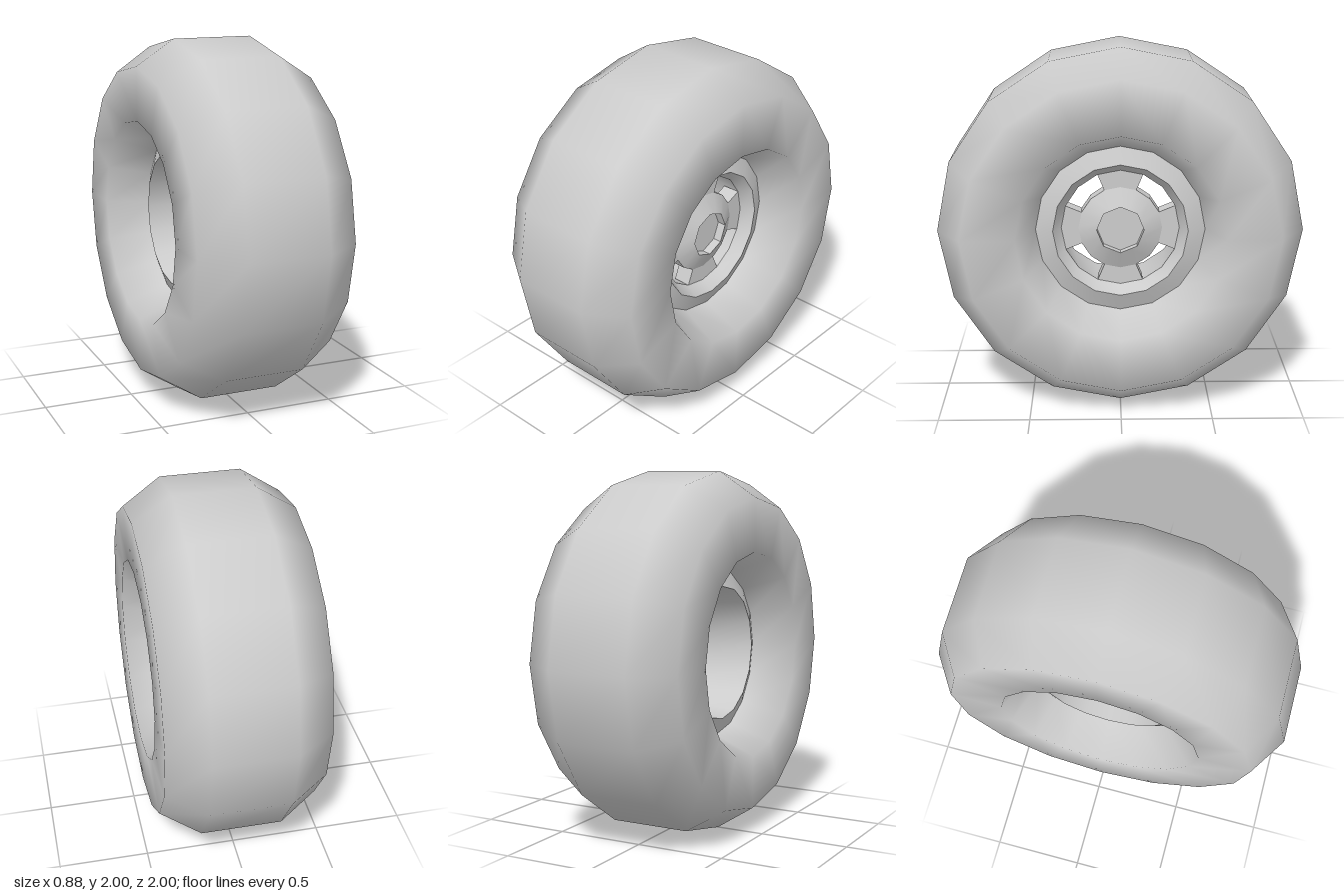
import * as THREE from 'three';
import { toCreasedNormals } from 'three/addons/utils/BufferGeometryUtils.js';

const SIDES = 16;
const STEP = (Math.PI * 2) / SIDES;

export function createModel() {
  const wheel = new THREE.Group();
  wheel.name = 'wheel';
  const material = new THREE.MeshStandardMaterial({ color: 0xcccccc });

  const add = (name, geometry) => {
    const mesh = new THREE.Mesh(geometry, material);
    mesh.name = name;
    mesh.position.y = 1;
    wheel.add(mesh);
    return mesh;
  };

  // Profile of [radius, x] pairs turned around the x axle
  const turned = (profile) =>
    new THREE.LatheGeometry(profile.map(([r, x]) => new THREE.Vector2(r, x)), SIDES).rotateZ(-Math.PI / 2);

  // Tyre: chamfered tread, flat sidewalls, dished towards the rim; smooth all over
  add('tyre', turned([
    [0.465, -0.21], [0.565, -0.44], [0.86, -0.44], [1, -0.225],
    [1, 0.225], [0.86, 0.44], [0.565, 0.44], [0.465, 0.21],
  ]));

  // Rim: outer lip, shallow well to the disc, deep open barrel and inner lip
  add('rim', toCreasedNormals(turned([
    [0.465, 0.21], [0.37, 0.25], [0.325, 0.18], [0.37, -0.25], [0.465, -0.21],
  ]), 0.6));

  // Spoke disc: four wide spokes with windows between them
  const outline = [];
  for (let i = 0; i < 4; i++) {
    const radii = [0.325, 0.325, 0.325, 0.23, 0.23, 0.23];
    const steps = [-1, 0, 1, 1, 2, 3];
    radii.forEach((r, k) => {
      const a = (i * 4 + steps[k]) * STEP;
      outline.push(new THREE.Vector2(r * Math.cos(a), r * Math.sin(a)));
    });
  }
  const disc = new THREE.ExtrudeGeometry(new THREE.Shape(outline), { depth: 0.1, bevelEnabled: false });
  add('spokeDisc', disc.rotateY(Math.PI / 2).translate(0.08, 0, 0));

  // Hub: low cone around an eight-sided pocket
  const hub = turned([[0.23, 0.18], [0.13, 0.23], [0.13, 0.18]]);
  const pos = hub.attributes.position;
  for (let i = 0; i < pos.count; i++) {
    const y = pos.getY(i), z = pos.getZ(i);
    const odd = Math.abs(Math.round(Math.atan2(z, y) / STEP)) % 2 === 1;
    if (odd && Math.hypot(y, z) < 0.2) {
      const s = Math.cos(STEP);
      pos.setY(i, y * s);
      pos.setZ(i, z * s);
    }
  }
  add('hub', toCreasedNormals(hub, 0.6));

  return wheel;
}
